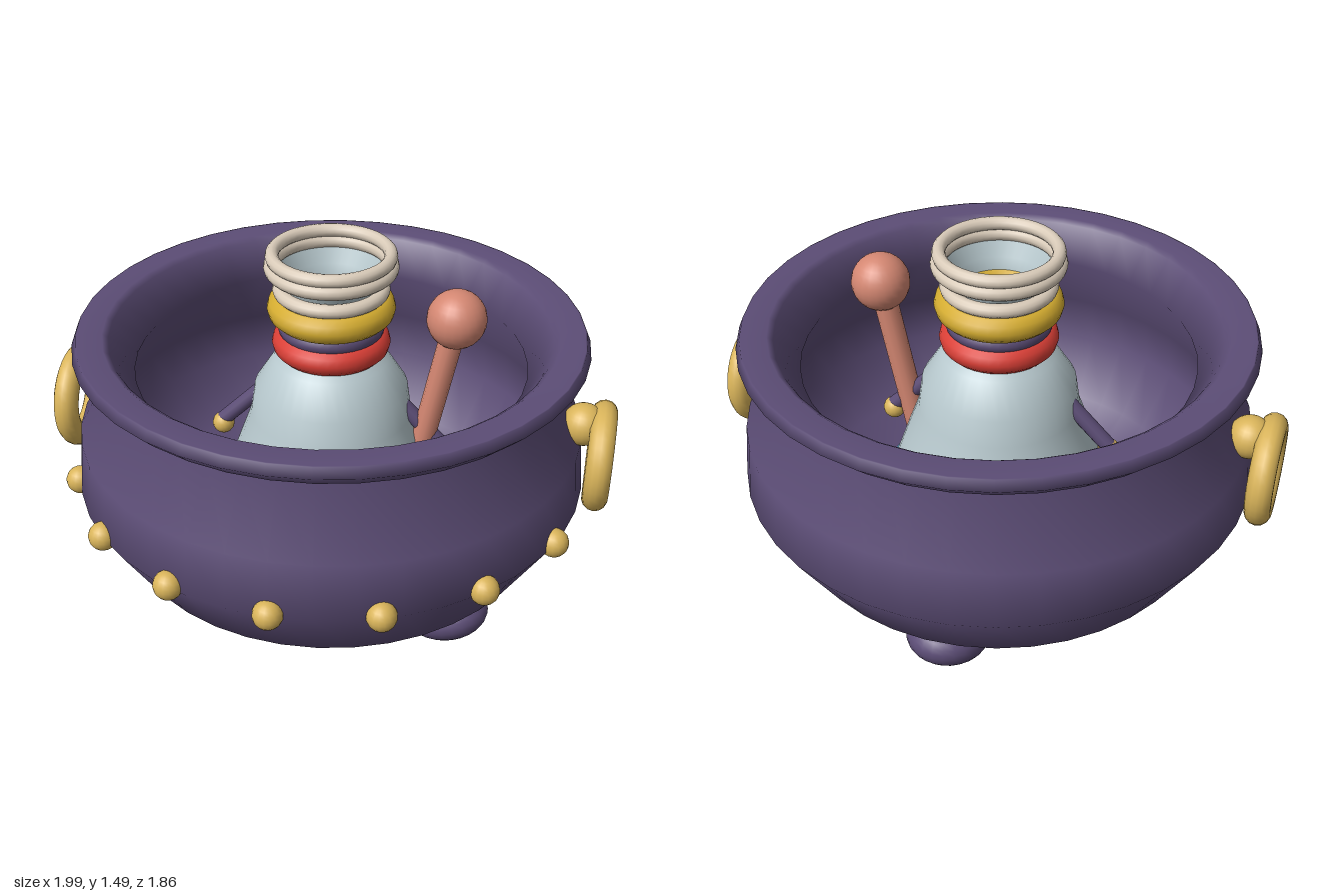
import * as THREE from 'three';

const mat = (name, color, side = THREE.FrontSide) => {
  const m = new THREE.MeshStandardMaterial({ color, side });
  m.name = name;
  return m;
};

export function createModel() {
  const purple = mat('plum iron', 0x5c4d76);
  const gold = mat('brass', 0xd9b45a);
  const yellow = mat('yellow gold', 0xd4ac30);
  const red = mat('red', 0xdb3f36);
  const cream = mat('cream', 0xd9cbb9);
  const pale = mat('pale glass', 0xb7c8cd, THREE.DoubleSide);
  const salmon = mat('salmon', 0xd48772);
  const blue = mat('sky blue', 0x66b0d6);

  const model = new THREE.Group();
  model.name = 'cauldron';
  const body = new THREE.Group(); // everything shares one vertical axis
  body.name = 'cauldronBody';
  body.position.z = -0.025;
  model.add(body);

  const add = (name, geo, material, x = 0, y = 0, z = 0) => {
    const mesh = new THREE.Mesh(geo, material);
    mesh.name = name;
    mesh.position.set(x, y, z);
    body.add(mesh);
    return mesh;
  };
  const lathe = (pts, seg = 40) =>
    new THREE.LatheGeometry(pts.map(([r, y]) => new THREE.Vector2(r, y)), seg);
  const ball = (r, w = 24, h = 16) => new THREE.SphereGeometry(r, w, h);
  const ring = (name, outer, tube, y, material) => {
    const geo = new THREE.TorusGeometry(outer - tube, tube, 12, 40);
    geo.rotateX(Math.PI / 2);
    return add(name, geo, material, 0, y);
  };
  const rod = (name, a, b, r, material) => {
    const path = new THREE.LineCurve3(new THREE.Vector3(...a), new THREE.Vector3(...b));
    return add(name, new THREE.TubeGeometry(path, 1, r, 12), material);
  };

  // Pot: outer wall, flared rim, inner wall and floor
  add('pot', lathe([
    [0, 0.25], [0.43, 0.25], [0.76, 0.41], [0.905, 0.65], [0.885, 0.85],
    [0.755, 1.08], [0.84, 1.125], [0.885, 1.17], [0.87, 1.205], [0.865, 1.205],
    [0.78, 1.205], [0.76, 1.19], [0.68, 1.07], [0.8, 0.84], [0.82, 0.66], [0.69, 0.46],
    [0.42, 0.31], [0, 0.3],
  ]), purple);

  // Three stubby feet, tilted up and out
  for (const deg of [30, 150, 270]) {
    const a = THREE.MathUtils.degToRad(deg);
    const foot = add('foot', ball(1), purple, 0.555 * Math.cos(a), 0.25, 0.555 * Math.sin(a));
    foot.scale.set(0.16, 0.095, 0.145);
    foot.rotation.set(0, -a, 0.25, 'YXZ');
  }

  // Studs around the front half of the belly
  for (let i = -3; i <= 3; i++) {
    const a = (i * Math.PI) / 8;
    add('stud', ball(0.05, 16, 12), gold, 0.905 * Math.sin(a), 0.662, 0.905 * Math.cos(a));
  }

  // Ring handles with their knobs, and the small arms on the bottle
  for (const s of [-1, 1]) {
    const handle = add('ringHandle', new THREE.TorusGeometry(0.15, 0.045, 14, 36), gold, s * 0.953, 0.8);
    handle.rotation.y = Math.PI / 2;
    add('handleKnob', ball(0.075), gold, s * 0.885, 0.92);
    rod('bottleArm', [s * 0.25, 0.92, 0], [s * 0.41, 0.76, 0], 0.028, purple);
    add('armKnob', ball(0.04, 16, 12), gold, s * 0.405, 0.75);
  }

  // Domed bottle standing through the pot floor
  add('bottle', lathe([
    [0, 0.165], [0.372, 0.165], [0.378, 0.168], [0.43, 0.25], [0.425, 0.42], [0.4, 0.55],
    [0.34, 0.72], [0.285, 0.87], [0.27, 0.97], [0.2, 1.08], [0.1, 1.15], [0, 1.17],
  ]), pale);
  ring('bottleBand', 0.412, 0.015, 0.55, blue);

  // Stacked collars and the flared mouth
  ring('redCollar', 0.205, 0.05, 1.145, red);
  ring('darkCollar', 0.185, 0.035, 1.205, purple);
  ring('yellowCollar', 0.22, 0.05, 1.275, yellow);
  ring('lowerLip', 0.2, 0.024, 1.343, cream);
  add('mouth', lathe([[0.14, 1.3], [0.15, 1.36], [0.19, 1.41], [0.195, 1.46]]), pale);
  ring('middleLip', 0.228, 0.026, 1.425, cream);
  ring('upperLip', 0.222, 0.023, 1.464, cream);

  // Stirring stick
  rod('stick', [0.43, 1.27, 0], [0.21, 0.16, 0], 0.042, salmon);
  add('stickTip', ball(0.042, 12, 8), salmon, 0.205, 0.178);
  add('stickBall', ball(0.102), salmon, 0.43, 1.273);

  // Faceted bulb and blue dots under the bottle
  add('bulb', ball(0.2, 10, 8), gold, 0, 0.2);
  for (let i = 0; i < 6; i++) {
    const a = Math.PI * (1.12 + 0.152 * i);
    const dot = add('blueDot', ball(0.022, 12, 8), blue, 0.215 * Math.cos(a), 0.165, 0.215 * Math.sin(a));
    dot.scale.y = 0.2;
  }
  return model;
}
